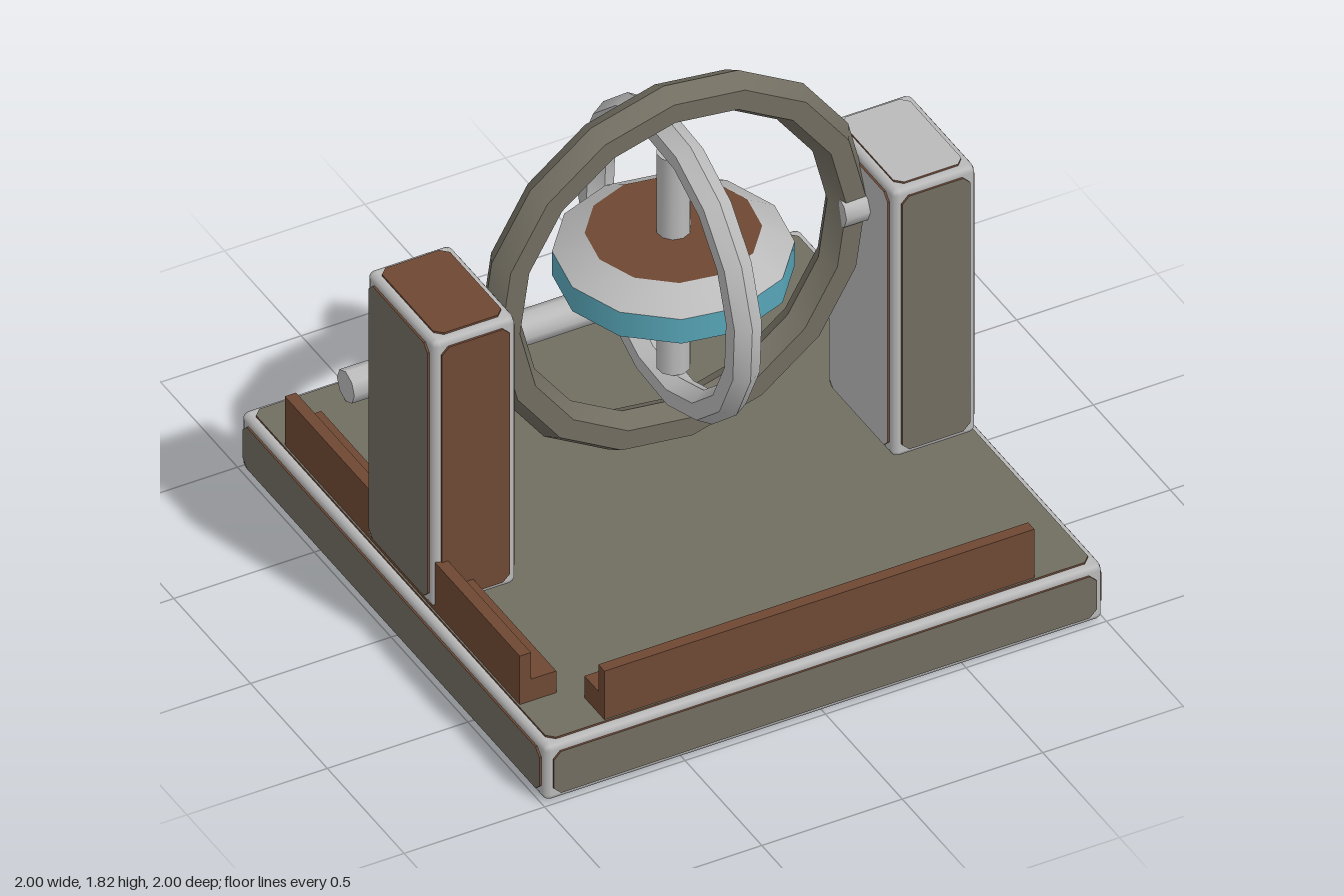
import * as THREE from 'three';
import { toCreasedNormals } from 'three/addons/utils/BufferGeometryUtils.js';
import { RoundedBoxGeometry } from 'three/addons/geometries/RoundedBoxGeometry.js';

const paint = (name, color) => Object.assign(new THREE.MeshStandardMaterial({ color }), { name });

export function createModel() {
  const olive = paint('olive', 0x716d61);
  const brown = paint('brown', 0x6e4833);
  const silver = paint('silver', 0xbababa);
  const teal = paint('teal', 0x58a6b8);
  const model = new THREE.Group();
  model.name = 'gyroscope';

  function add(parent, name, geometry, material, x = 0, y = 0, z = 0) {
    const mesh = new THREE.Mesh(geometry, material);
    mesh.name = name;
    mesh.position.set(x, y, z);
    parent.add(mesh);
    return mesh;
  }

  // Panel with clipped corners and a brown rim
  const DEPTH = 0.02, INSET = 0.034, CUT = 0.025;
  function panelGeometry(w, h) {
    const a = w / 2 - INSET, b = h / 2 - INSET;
    const shape = new THREE.Shape([
      [a - CUT, -b], [a, -b + CUT], [a, b - CUT], [a - CUT, b],
      [-a + CUT, b], [-a, b - CUT], [-a, -b + CUT], [-a + CUT, -b],
    ].map(p => new THREE.Vector2(...p)));
    return new THREE.ExtrudeGeometry(shape, { depth: DEPTH, bevelEnabled: false });
  }

  // Chamfered silver block with a raised panel on each face
  function panelledBlock(name, [w, h, d], [x, y, z], colours) {
    const block = new THREE.Group();
    block.name = name;
    block.position.set(x, y, z);
    add(block, name + 'Frame', new RoundedBoxGeometry(w - 0.014, h - 0.014, d - 0.014, 1, 0.022), silver);
    const q = Math.PI / 2;
    const faces = {
      front: [w, h, d, 0, 0], back: [w, h, d, 0, 2 * q],
      left: [d, h, w, 0, q], right: [d, h, w, 0, -q],
      top: [w, d, h, -q, 0], bottom: [w, d, h, q, 0],
    };
    for (const [side, [pw, ph, thick, rx, ry]] of Object.entries(faces)) {
      const panel = add(block, side + 'Panel', panelGeometry(pw, ph), [colours[side], brown]);
      panel.rotation.set(rx, ry, 0);
      panel.translateZ(thick / 2 - DEPTH);
    }
    model.add(block);
  }

  panelledBlock('base', [2, 0.23, 2], [0, 0.115, 0],
    { front: olive, back: olive, left: olive, right: olive, top: olive, bottom: brown });
  panelledBlock('leftPost', [0.31, 1.06, 0.45], [0.815, 0.76, 0.005],
    { front: olive, back: silver, left: silver, right: silver, top: silver, bottom: brown });
  panelledBlock('rightPost', [0.31, 1.06, 0.45], [-0.82, 0.76, 0],
    { front: brown, back: brown, left: olive, right: olive, top: brown, bottom: brown });

  // L-shaped rails along the front and right edges
  const railShape = new THREE.Shape([
    [0.83, 0.225], [0.96, 0.225], [0.96, 0.42], [0.92, 0.42], [0.92, 0.315], [0.83, 0.315],
  ].map(p => new THREE.Vector2(...p)));
  const railGeometry = new THREE.ExtrudeGeometry(railShape, { depth: 1.53, bevelEnabled: false });
  railGeometry.translate(0, 0, -0.765);
  add(model, 'frontRail', railGeometry, brown).rotation.y = -Math.PI / 2;
  add(model, 'rightRail', railGeometry, brown).rotation.y = Math.PI;

  // Loose rod at the back
  const round = (r, len, sides) =>
    toCreasedNormals(new THREE.CylinderGeometry(r, r, len, sides), 1);
  add(model, 'backRod', round(0.057, 1.38, 8), silver, 0, 0.295, -0.863).rotation.z = Math.PI / 2;

  // Gimbal rings with hexagonal section
  const ring = (r, tube, phase) =>
    toCreasedNormals(new THREE.TorusGeometry(r, tube, 6, 16).rotateZ(phase), 0.6);
  add(model, 'outerRing', ring(0.625, 0.071, 0.05), olive, 0, 1.122, 0.01).rotation.y = 0.022;
  add(model, 'innerRing', ring(0.487, 0.056, -0.14), silver, -0.005, 1.12, -0.005).rotation.y = Math.PI / 2;

  // Pivot pins between outer ring and posts
  for (const [name, s] of [['leftPivot', 1], ['rightPivot', -1]]) {
    add(model, name, round(0.057, 0.12, 8), silver, s * 0.635, 1.118, s * 0.028).rotation.z = Math.PI / 2;
  }

  // Spinning rotor: teal rim, silver cones, brown caps
  const rotor = new THREE.Group();
  rotor.name = 'rotor';
  rotor.position.set(0.005, 1.12, 0);
  rotor.rotation.y = 0.09;
  const SIDES = 12, RIM = 0.38, CAP = 0.278;
  add(rotor, 'rim', new THREE.CylinderGeometry(RIM, RIM, 0.094, SIDES, 1, true), teal);
  add(rotor, 'upperCone', new THREE.CylinderGeometry(CAP, RIM, 0.066, SIDES, 1, true), silver, 0, 0.08);
  add(rotor, 'lowerCone', new THREE.CylinderGeometry(RIM, CAP, 0.066, SIDES, 1, true), silver, 0, -0.08);
  for (const [name, s] of [['upperCap', 1], ['lowerCap', -1]]) {
    add(rotor, name, new THREE.CircleGeometry(CAP, SIDES).rotateX(-s * Math.PI / 2), brown, 0, s * 0.113);
  }
  add(rotor, 'axle', round(0.055, 0.84, 10), silver);
  model.add(rotor);

  return model;
}
